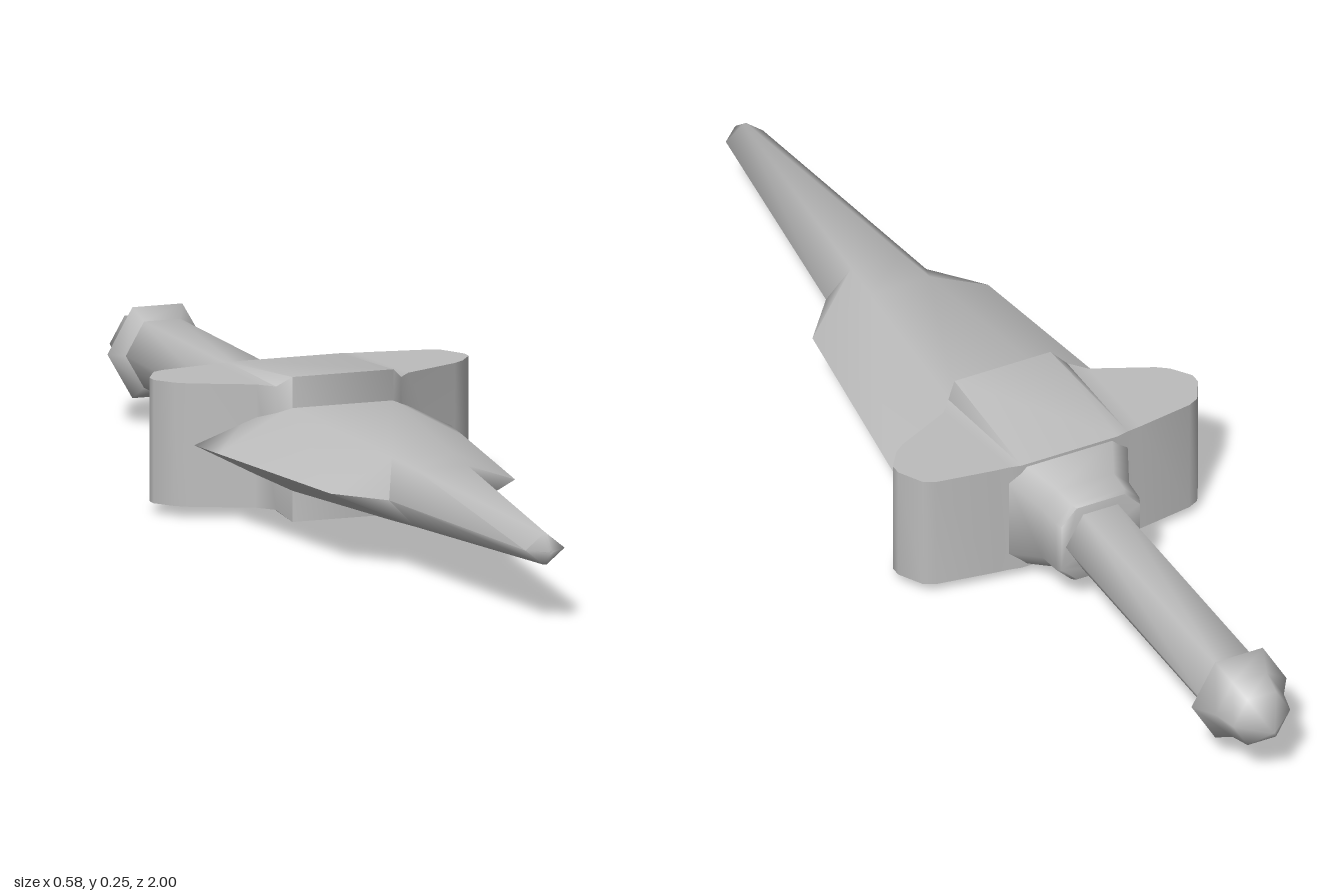
import * as THREE from 'three';
import { toCreasedNormals } from 'three/addons/utils/BufferGeometryUtils.js';

const MID = 0.127; // height of the long axis

// Skin a list of equal-sized rings of [x, y, z] points and close both ends
function loft(rings, crease) {
  const pos = [];
  const tri = (a, b, c) => pos.push(...a, ...b, ...c);
  const n = rings[0].length;
  for (let i = 0; i < rings.length - 1; i++) {
    for (let j = 0; j < n; j++) {
      const k = (j + 1) % n;
      tri(rings[i][j], rings[i][k], rings[i + 1][k]);
      tri(rings[i][j], rings[i + 1][k], rings[i + 1][j]);
    }
  }
  const first = rings[0], last = rings[rings.length - 1];
  for (let j = 1; j < n - 1; j++) {
    tri(first[0], first[j + 1], first[j]);
    tri(last[0], last[j], last[j + 1]);
  }
  const g = new THREE.BufferGeometry();
  g.setAttribute('position', new THREE.Float32BufferAttribute(pos, 3));
  return toCreasedNormals(g, crease);
}

// Hexagon with side points at +-w and flat top and bottom of half width t at +-h
const hex = (z, w, t, h) =>
  [[w, 0], [t, h], [-t, h], [-w, 0], [-t, -h], [t, -h]].map(([x, y]) => [x, y, z]);

// Regular hexagon of radius r
const regular = (z, r) => hex(z, r, r / 2, r * 0.866);

// Rectangle w by h with corners cut by c
const chamfered = (z, w, h, c) =>
  [[w, -h + c], [w, h - c], [w - c, h], [-w + c, h],
    [-w, h - c], [-w, -h + c], [-w + c, -h], [w - c, -h]].map(([x, y]) => [x, y, z]);

export function createModel() {
  const model = new THREE.Group();
  const steel = new THREE.MeshStandardMaterial({ color: 0xbcbcbc });
  steel.name = 'grey steel';

  const add = (name, geometry) => {
    const mesh = new THREE.Mesh(geometry, steel);
    mesh.name = name;
    mesh.position.y = MID;
    model.add(mesh);
  };

  // Blade: wide shoulders, stepping in to a slim point
  add('blade', loft([
    hex(-0.1, 0.238, 0.1, 0.077),
    hex(0.0, 0.225, 0.093, 0.073),
    hex(0.39, 0.17, 0.057, 0.055),
    hex(0.48, 0.097, 0.048, 0.05),
    hex(0.97, 0.036, 0.003, 0.027),
    hex(1.0, 0.004, 0.001, 0.003),
  ], 1.75));

  // Guard: [x, front z, back z, front half height, back half height]
  const half = [
    [0.093, 0.01, -0.24, 0.127, 0.108],
    [0.115, -0.01, -0.235, 0.108, 0.108],
    [0.14, -0.04, -0.232, 0.108, 0.108],
    [0.245, -0.09, -0.215, 0.108, 0.108],
    [0.265, -0.105, -0.205, 0.108, 0.108],
    [0.29, -0.14, -0.16, 0.108, 0.108],
  ];
  const stations = [
    ...half.map(([x, ...s]) => [-x, ...s]).reverse(),
    ...half,
  ];
  add('guard', loft(stations.map(([x, zf, zb, hf, hb]) =>
    [[x, -hb, zb], [x, hb, zb], [x, hf, zf], [x, -hf, zf]]), 1.3));

  // Collar: shrinks from the guard to the grip
  add('collar', loft([
    chamfered(-0.355, 0.076, 0.075, 0.03),
    chamfered(-0.345, 0.081, 0.079, 0.03),
    chamfered(-0.30, 0.084, 0.081, 0.03),
    chamfered(-0.235, 0.115, 0.104, 0.03),
    chamfered(-0.2, 0.12, 0.106, 0.03),
  ], 1.1));

  // Grip
  add('grip', loft([regular(-0.88, 0.067), regular(-0.34, 0.067)], 1.1));

  // Pommel: flared ring and pointed cap
  add('pommel', loft([
    regular(-1.0, 0.003),
    regular(-0.955, 0.055),
    regular(-0.91, 0.066),
    regular(-0.87, 0.092),
    regular(-0.847, 0.067),
  ], 1.9));

  return model;
}
